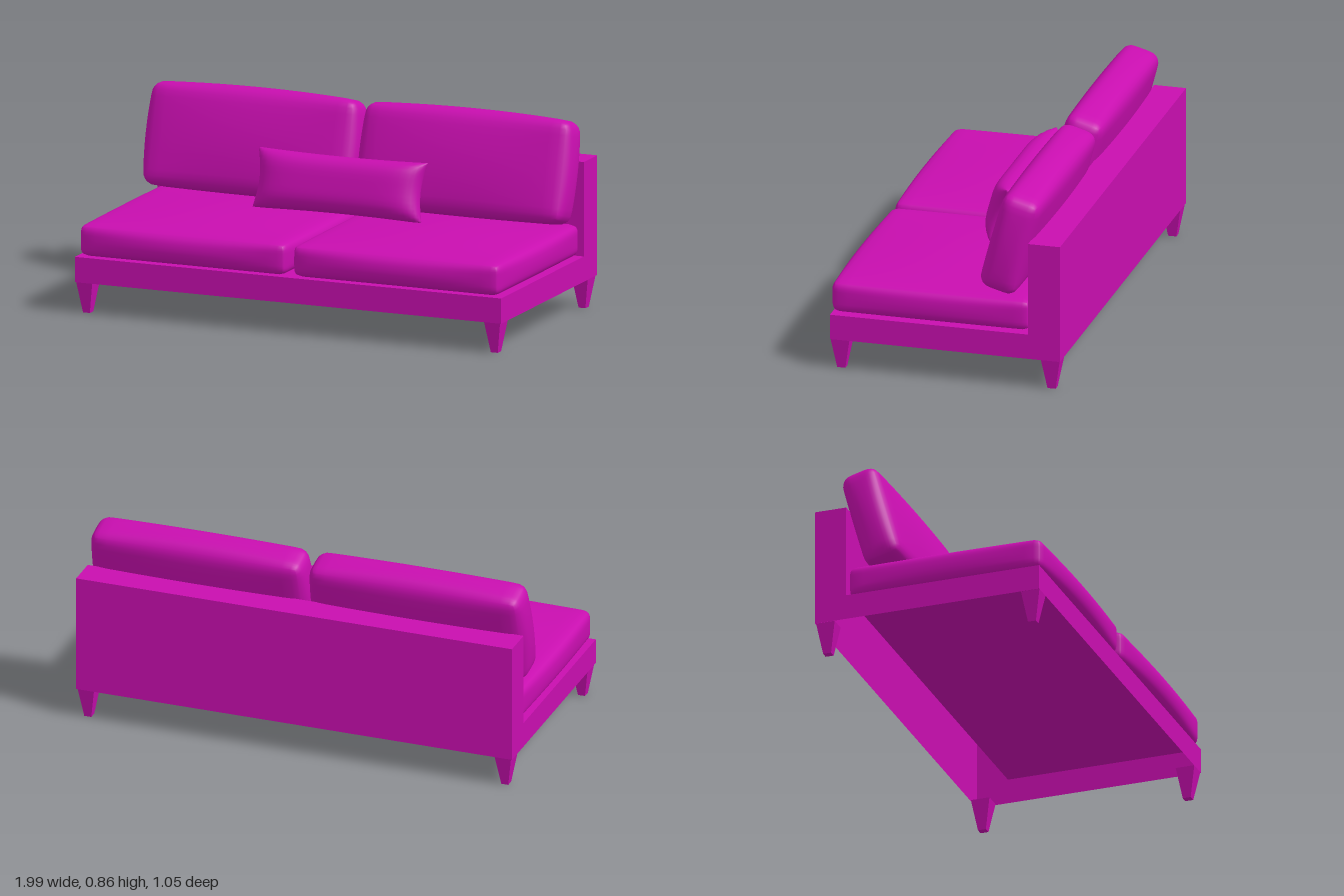
import * as THREE from 'three';
import { mergeVertices } from 'three/addons/utils/BufferGeometryUtils.js';

const fabric = new THREE.MeshStandardMaterial({ color: 0xc80eaf });
const shell = new THREE.MeshStandardMaterial({ color: 0xc80eaf, side: THREE.DoubleSide });

function addMesh(parent, name, geometry, material = fabric) {
  const mesh = new THREE.Mesh(geometry, material);
  mesh.name = name;
  parent.add(mesh);
  return mesh;
}

// Weld a reshaped grid so it shades smoothly
function smooth(geometry) {
  geometry.deleteAttribute('uv');
  geometry.deleteAttribute('normal');
  const welded = mergeVertices(geometry, 1e-5);
  welded.computeVertexNormals();
  return welded;
}

// Rounded box whose faces swell; bulge gives the swell of each face
function cushionGeometry(w, h, d, radius, bulge) {
  const geo = new THREE.BoxGeometry(2, 2, 2, 16, 16, 16);
  const pos = geo.attributes.position;
  const half = new THREE.Vector3(w / 2, h / 2, d / 2);
  const inner = half.clone().subScalar(radius);
  const p = new THREE.Vector3(), core = new THREE.Vector3();
  for (let i = 0; i < pos.count; i++) {
    p.fromBufferAttribute(pos, i);
    // crowd grid lines toward the edges
    for (const a of ['x', 'y', 'z']) p[a] = Math.sin(p[a] * Math.PI / 2) * half[a];
    core.copy(p).clamp(inner.clone().negate(), inner);
    p.sub(core).normalize().multiplyScalar(radius).add(core);
    const n = p.clone().divide(half);
    const k = { x: 1 - n.x * n.x, y: 1 - n.y * n.y, z: 1 - n.z * n.z };
    p.x += n.x * bulge.side * k.y * k.z;
    p.y += n.y * (n.y > 0 ? bulge.top : bulge.bottom) * k.x * k.z;
    p.z += n.z * (n.z > 0 ? bulge.front : bulge.back) * k.x * k.y;
    pos.setXYZ(i, p.x, p.y, p.z);
  }
  return smooth(geo);
}

// Pillow thinning to a seam all round, with pulled-out corners
function pillowGeometry(w, h, d) {
  const geo = new THREE.BoxGeometry(2, 2, 2, 28, 16, 1);
  const pos = geo.attributes.position;
  for (let i = 0; i < pos.count; i++) {
    const u = Math.sin(pos.getX(i) * Math.PI / 2);
    const v = Math.sin(pos.getY(i) * Math.PI / 2);
    const thick = Math.sqrt(Math.max(0, (1 - u ** 6) * (1 - v ** 4)));
    pos.setXYZ(i,
      u * w / 2 * (1 - 0.06 * (1 - v * v)),
      v * h / 2 * (1 - 0.06 * (1 - u * u)),
      pos.getZ(i) * d / 2 * thick);
  }
  return smooth(geo);
}

// L-shaped frame, hollow and open underneath
function frameGeometry() {
  const width = 1.99, low = 0.135;
  const profile = new THREE.Shape([
    [0.5, low], [0.5, 0.246], [-0.38, 0.246], [-0.38, 0.66], [-0.522, 0.66], [-0.522, low],
  ].map(([z, y]) => new THREE.Vector2(-z, y)));
  const geo = new THREE.ExtrudeGeometry(profile, { depth: width, bevelEnabled: false });
  geo.translate(0, 0, -width / 2);
  geo.rotateY(Math.PI / 2);
  const src = geo.attributes.position, kept = [];
  for (let i = 0; i < src.count; i += 3) {
    const isBottom = [0, 1, 2].every((j) => src.getY(i + j) < low + 0.001);
    if (isBottom) continue;
    for (let j = 0; j < 3; j++) kept.push(src.getX(i + j), src.getY(i + j), src.getZ(i + j));
  }
  const open = new THREE.BufferGeometry();
  open.setAttribute('position', new THREE.Float32BufferAttribute(kept, 3));
  open.computeVertexNormals();
  return open;
}

// Square tapered leg
function legGeometry() {
  const geo = new THREE.CylinderGeometry(0.0375 * Math.SQRT2, 0.016 * Math.SQRT2, 0.137, 4).toNonIndexed();
  geo.rotateY(Math.PI / 4);
  geo.scale(1, 1, 1.13);
  geo.computeVertexNormals();
  return geo;
}

export function createModel() {
  const sofa = new THREE.Group();
  sofa.name = 'sofa';

  addMesh(sofa, 'frame', frameGeometry(), shell);

  const leg = legGeometry();
  const seat = cushionGeometry(0.962, 0.14, 0.88, 0.035,
    { side: 0.014, top: 0.022, bottom: 0, front: 0.026, back: 0 });
  const back = cushionGeometry(0.955, 0.445, 0.172, 0.05,
    { side: 0.02, top: 0.016, bottom: 0.006, front: 0.024, back: 0.012 });

  for (const [side, s] of [['left', 1], ['right', -1]]) {
    addMesh(sofa, side + 'FrontLeg', leg).position.set(s * 0.952, 0.0685, 0.457);
    addMesh(sofa, side + 'BackLeg', leg).position.set(s * 0.952, 0.0685, -0.477);
    addMesh(sofa, side + 'SeatCushion', seat).position.set(s * 0.498, 0.319, 0.06);
    const backCushion = addMesh(sofa, side + 'BackCushion', back);
    backCushion.position.set(s * 0.498, 0.628, -0.285);
    backCushion.rotation.x = -0.27;
  }

  // Lumbar pillow leaning on the back cushions
  const pillow = addMesh(sofa, 'lumbarPillow', pillowGeometry(0.79, 0.26, 0.165));
  pillow.position.set(-0.01, 0.53, -0.078);
  pillow.rotation.x = -0.27;

  return sofa;
}
